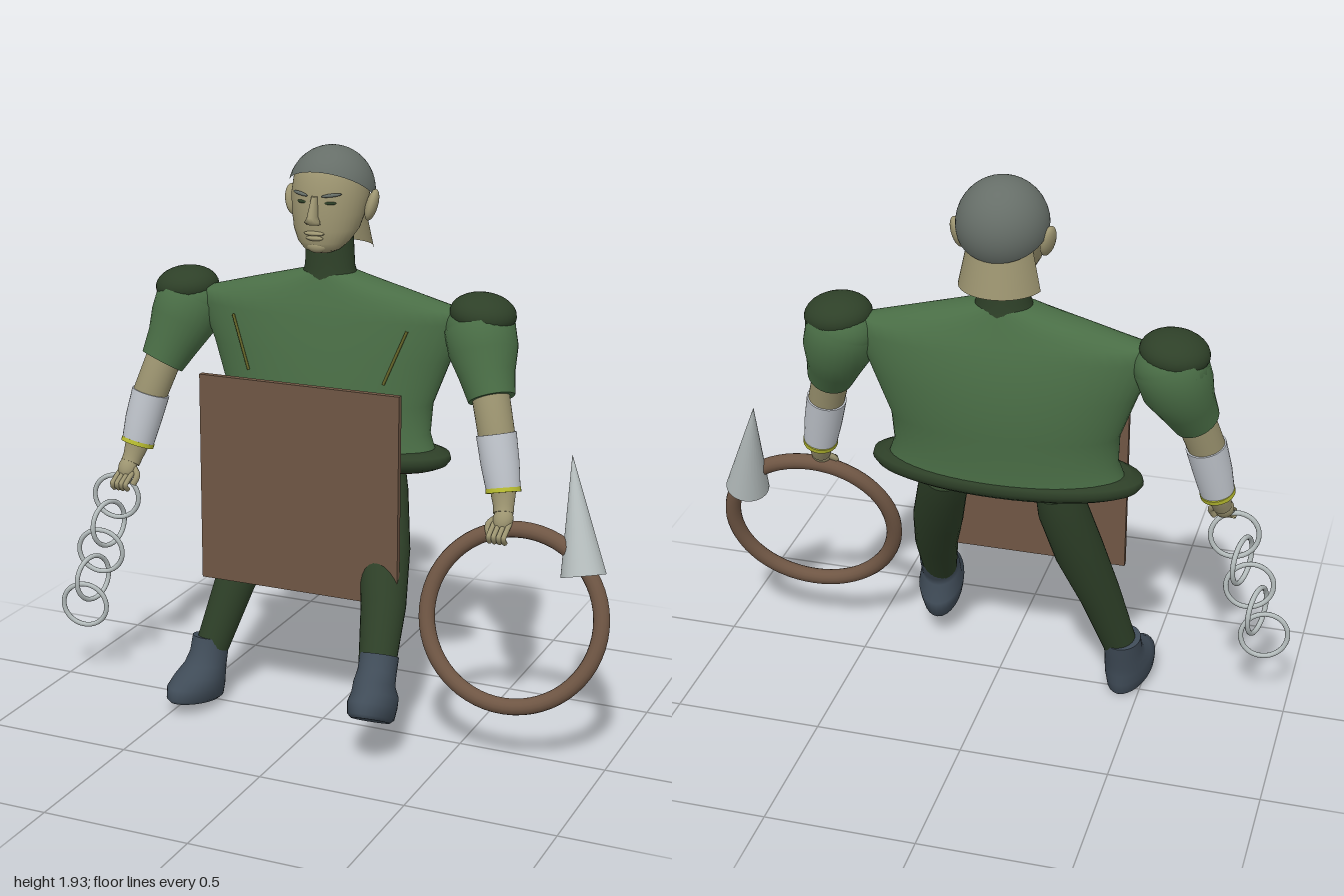
import * as THREE from 'three';

const mat = (name, color, side = THREE.FrontSide) => {
  const m = new THREE.MeshStandardMaterial({ color, side });
  m.name = name;
  return m;
};

// Skin over elliptical rings [x, y, z, rx, rz]; rings face the path unless dir is given.
function loft(rows, dir = null, n = 28) {
  const pos = [], idx = [];
  const centres = rows.map(r => new THREE.Vector3(r[0], r[1], r[2]));
  const rings = rows.map((r, i) => {
    const d = dir ? dir.clone() : centres[Math.min(i + 1, rows.length - 1)].clone().sub(centres[Math.max(i - 1, 0)]).normalize();
    const u = new THREE.Vector3(0, 0, 1).addScaledVector(d, -d.z).normalize();
    const v = d.clone().cross(u);
    return Array.from({ length: n }, (_, j) => {
      const t = j / n * Math.PI * 2;
      return centres[i].clone().addScaledVector(v, r[3] * Math.sin(t)).addScaledVector(u, (r[4] ?? r[3]) * Math.cos(t));
    });
  });
  rings.forEach(ring => ring.forEach(p => pos.push(p.x, p.y, p.z)));
  for (let i = 0; i < rows.length - 1; i++) for (let j = 0; j < n; j++) {
    const a = i * n + j, b = i * n + (j + 1) % n;
    idx.push(a, b, a + n, b, b + n, a + n);
  }
  // Flat end caps with their own vertices
  [0, rows.length - 1].forEach((i, end) => {
    const s = pos.length / 3;
    [centres[i], ...rings[i]].forEach(p => pos.push(p.x, p.y, p.z));
    for (let j = 0; j < n; j++) {
      const a = s + 1 + j, b = s + 1 + (j + 1) % n;
      end ? idx.push(s, a, b) : idx.push(s, b, a);
    }
  });
  const g = new THREE.BufferGeometry();
  g.setAttribute('position', new THREE.Float32BufferAttribute(pos, 3));
  g.setIndex(idx);
  g.computeVertexNormals();
  return g;
}

const UP = new THREE.Vector3(0, 1, 0);
const V = (x, y, z) => new THREE.Vector3(x, y, z);

export function createModel() {
  const root = new THREE.Group();
  const tunic = mat('tunic green', 0x4a6e46), dark = mat('dark green', 0x2e4028);
  const brown = mat('brown leather', 0x6f5644), bootMat = mat('boot slate', 0x3f4b57);
  const skin = mat('skin', 0x9c9470, THREE.DoubleSide), hair = mat('hair grey', 0x666e68);
  const steel = mat('steel', 0xb4bcbc), wrap = mat('wrist wrap', 0xc0c5cc);
  const trim = mat('yellow trim', 0xb8bc30), seamMat = mat('seam olive', 0x646428);

  const body = new THREE.Group();
  body.name = 'body';
  body.position.x = -0.075;
  root.add(body);

  const add = (parent, name, geo, m, p = [0, 0, 0], s = [1, 1, 1], r = [0, 0, 0]) => {
    const o = new THREE.Mesh(geo, m);
    o.name = name;
    o.position.set(...p); o.scale.set(...s); o.rotation.set(...r);
    parent.add(o);
    return o;
  };
  const ball = new THREE.SphereGeometry(1, 28, 18);

  // Torso, belt brim and underside
  const torso = [
    [0, 0.93, -0.2, 0.395, 0.155], [0, 1.0, -0.205, 0.37, 0.15], [0, 1.1, -0.215, 0.375, 0.15],
    [0, 1.25, -0.23, 0.43, 0.148], [0, 1.38, -0.228, 0.485, 0.122], [0, 1.425, -0.226, 0.475, 0.108],
    [0, 1.475, -0.225, 0.28, 0.092], [0, 1.52, -0.225, 0.095, 0.076]];
  add(body, 'torso', loft(torso, UP, 48), tunic);
  add(body, 'brim', loft([[0, 0.885, -0.19, 0.4, 0.145], [0, 0.9, -0.19, 0.435, 0.165], [0, 0.92, -0.19, 0.45, 0.177],
    [0, 0.94, -0.19, 0.445, 0.173], [0, 0.95, -0.19, 0.41, 0.155]], UP, 48), dark);
  add(body, 'tunicUnderside', loft([[0, 0.88, -0.19, 0.385, 0.135], [0, 0.887, -0.19, 0.385, 0.135]], UP, 48), brown);
  add(body, 'collar', loft([[0, 1.49, -0.225, 0.1, 0.085], [0, 1.54, -0.225, 0.085, 0.075], [0, 1.635, -0.225, 0.08, 0.072]], UP), dark);

  // Chest seams laid on the torso surface
  const frontZ = (x, y) => {
    const i = torso.findIndex(r => r[1] > y), a = torso[i - 1], b = torso[i];
    const [zc, rx, rz] = [2, 3, 4].map(k => THREE.MathUtils.lerp(a[k], b[k], (y - a[1]) / (b[1] - a[1])));
    return zc + rz * Math.sqrt(Math.max(0, 1 - (x / rx) ** 2));
  };
  for (const s of [-1, 1]) {
    const pts = [0, 0.25, 0.5, 0.75, 1].map(t => {
      const x = s * (0.315 - 0.07 * t), y = 1.36 - 0.18 * t;
      return V(x, y, frontZ(x, y) + 0.003);
    });
    add(body, 'chestSeam', new THREE.TubeGeometry(new THREE.CatmullRomCurve3(pts), 16, 0.005, 6), seamMat);
  }

  // Head
  const head = new THREE.Group();
  head.name = 'head';
  body.add(head);
  const skull = [[1.595, -0.125, -0.19, 0.035], [1.605, -0.108, -0.215, 0.06], [1.63, -0.098, -0.25, 0.087],
    [1.67, -0.095, -0.3, 0.11], [1.72, -0.095, -0.335, 0.122], [1.78, -0.1, -0.36, 0.13],
    [1.84, -0.114, -0.362, 0.124], [1.87, -0.135, -0.35, 0.107], [1.905, -0.175, -0.305, 0.065]];
  add(head, 'face', loft(skull.map(([y, f, b, rx]) => [0, y, (f + b) / 2, rx, (f - b) / 2]), UP, 36), skin);
  add(head, 'hairCap', new THREE.SphereGeometry(0.147, 36, 20, 0, Math.PI * 2, 0, Math.PI * 0.51), hair,
    [0, 1.787, -0.24], [0.98, 1, 1], [-0.56, 0, 0]);
  add(head, 'nape', new THREE.CylinderGeometry(0.105, 0.135, 0.14, 20, 3, true, Math.PI * 0.58, Math.PI * 0.84), skin, [0, 1.665, -0.25]);
  add(head, 'nose', loft([[0, 1.695, -0.09, 0.024, 0.02], [0, 1.705, -0.08, 0.025, 0.032], [0, 1.72, -0.084, 0.016, 0.03],
    [0, 1.785, -0.1, 0.01, 0.012]], UP, 14), skin);
  add(head, 'upperLip', ball, skin, [0, 1.664, -0.096], [0.036, 0.008, 0.014]);
  add(head, 'lowerLip', ball, skin, [0, 1.648, -0.1], [0.03, 0.009, 0.014]);
  add(head, 'chin', ball, skin, [0, 1.618, -0.12], [0.036, 0.022, 0.022]);
  for (const s of [-1, 1]) {
    add(head, 'eye', ball, dark, [s * 0.05, 1.764, -0.112], [0.02, 0.006, 0.006], [0, s * 0.35, 0]);
    add(head, 'eyebrow', ball, hair, [s * 0.055, 1.79, -0.111], [0.034, 0.006, 0.006], [0, s * 0.4, s * 0.12]);
    add(head, 'ear', ball, skin, [s * 0.142, 1.745, -0.242], [0.02, 0.053, 0.034], [-0.2, s * 0.3, -s * 0.2]);
  }

  // Arms, mirrored
  for (const s of [-1, 1]) {
    const arm = new THREE.Group();
    arm.name = s > 0 ? 'leftArm' : 'rightArm';
    body.add(arm);
    const limb = (name, rows, m) => add(arm, name, loft(rows.map(([x, ...r]) => [s * x, ...r])), m);
    limb('sleeve', [[0.5, 1.43, -0.235, 0.07], [0.525, 1.39, -0.235, 0.118], [0.55, 1.3, -0.215, 0.115],
      [0.575, 1.23, -0.185, 0.093], [0.603, 1.16, -0.155, 0.077]], tunic);
    add(arm, 'shoulderJoint', ball, tunic, [s * 0.53, 1.37, -0.235], [0.118, 0.1, 0.108]);
    add(arm, 'shoulderCap', ball, dark, [s * 0.54, 1.42, -0.232], [0.11, 0.068, 0.106], [0, 0, -s * 0.1]);
    limb('forearm', [[0.595, 1.18, -0.16, 0.062], [0.635, 1.05, -0.12, 0.06], [0.672, 0.88, -0.092, 0.043],
      [0.682, 0.83, -0.07, 0.034], [0.686, 0.81, -0.058, 0.033]], skin);
    limb('wristWrap', [[0.633, 1.055, -0.122, 0.066], [0.655, 0.96, -0.104, 0.063], [0.672, 0.88, -0.092, 0.056]], wrap);
    limb('wrapTrim', [[0.671, 0.884, -0.093, 0.058], [0.674, 0.87, -0.089, 0.058]], trim);
    add(arm, 'palm', ball, skin, [s * 0.69, 0.795, -0.045], [0.033, 0.042, 0.03], [-0.5, 0, 0]);
    for (let i = 0; i < 4; i++) {
      const x = s * (0.664 + i * 0.017);
      const curve = new THREE.CatmullRomCurve3([V(x, 0.785, -0.04), V(x, 0.765, 0.0), V(x, 0.75, 0.022), V(x, 0.732, 0.005)]);
      add(arm, 'finger', new THREE.TubeGeometry(curve, 10, 0.009, 8), skin);
    }
    const thumb = new THREE.CatmullRomCurve3([V(s * 0.67, 0.8, -0.05), V(s * 0.645, 0.775, -0.03), V(s * 0.655, 0.745, -0.015)]);
    add(arm, 'thumb', new THREE.TubeGeometry(thumb, 8, 0.011, 8), skin);
  }

  // Legs in mid-stride
  add(root, 'rightLeg', loft([[-0.25, 0.885, -0.225, 0.07], [-0.265, 0.8, -0.2, 0.082], [-0.31, 0.62, -0.145, 0.083],
    [-0.37, 0.42, -0.08, 0.07], [-0.43, 0.2, -0.02, 0.058]]), dark);
  add(root, 'leftLeg', loft([[0.13, 0.885, -0.215, 0.07], [0.15, 0.8, -0.165, 0.082], [0.2, 0.63, -0.055, 0.085],
    [0.24, 0.47, 0.05, 0.075], [0.265, 0.29, 0.165, 0.06]]), dark);

  // Boot with its heel at the origin and the shaft top at depth t
  const boot = (name, t, p, r) => {
    const rows = [[0, 0.133, 0.125, 0.058], [0.012, 0.135, 0.138, 0.072], [0.05, 0.135, 0.137, 0.078],
      [0.085, 0.115, 0.11, 0.076], [0.12, t + 0.02, 0.083, 0.068], [0.16, t + 0.005, 0.07, 0.064], [0.215, t, 0.066, 0.064]];
    const o = add(root, name, loft(rows.map(([y, z, rz, rx]) => [0, y, z, rx, rz]), UP), bootMat, p);
    o.rotation.set(r[0], r[1], r[2], 'YXZ');
  };
  boot('rightBoot', 0.07, [-0.435, 0.003, -0.055], [-0.19, -0.14, 0]);
  boot('leftBoot', 0.125, [0.265, 0.088, 0.13], [-0.47, 0.12, 0]);

  // Hanging apron board
  add(root, 'apronBoard', new THREE.BoxGeometry(0.716, 0.715, 0.022), brown, [-0.07, 0.832, 0.04]);

  // Chain of alternating links in the right hand
  const link = new THREE.TorusGeometry(0.079, 0.0085, 10, 36);
  for (let i = 0; i < 5; i++)
    add(root, 'chainLink', link, steel, [-0.803 - i * 0.028, 0.69 - i * 0.101, -0.03 + i * 0.013],
      [1, 1, 1], i % 2 ? [0, Math.PI / 2 - 0.25, -0.27] : [0.08, 0.2, 0]);

  // Coiled lash with its spike in the left hand
  const lash = add(root, 'lashLoop', new THREE.TorusGeometry(0.287, 0.027, 14, 60), brown, [0.68, 0.488, 0.02]);
  lash.quaternion.setFromUnitVectors(V(0, 0, 1), V(0.11, 0.28, 1).normalize());
  const base = V(0.887, 0.638, -0.055), tip = V(0.803, 1.005, -0.163);
  const axis = tip.clone().sub(base);
  const spike = add(root, 'spike', new THREE.ConeGeometry(0.074, axis.length(), 28), steel);
  spike.position.copy(base).addScaledVector(axis, 0.5);
  spike.quaternion.setFromUnitVectors(UP, axis.normalize());

  return root;
}
